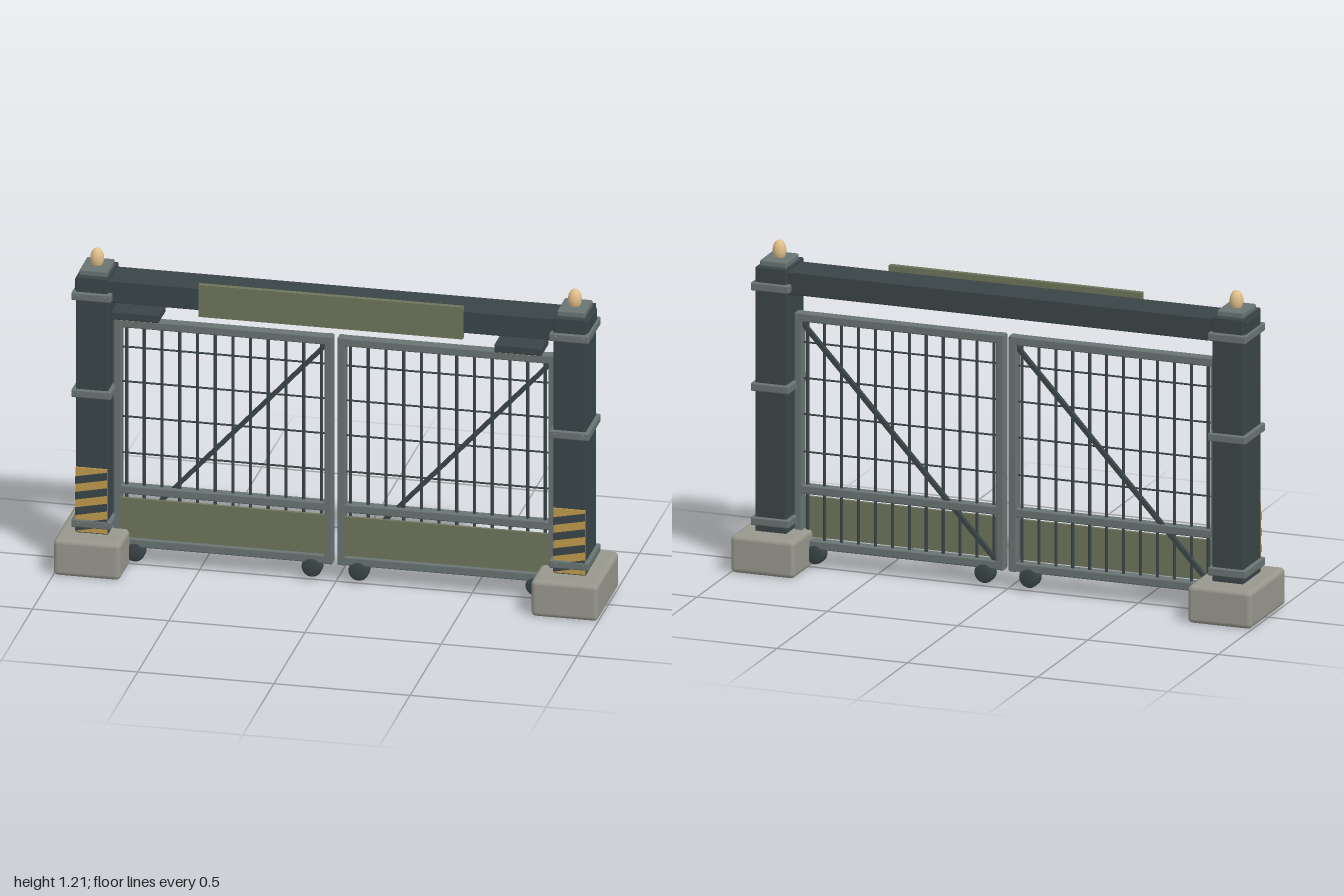
import * as THREE from 'three';
import { RoundedBoxGeometry } from 'three/addons/geometries/RoundedBoxGeometry.js';

const paint = (color) => new THREE.MeshStandardMaterial({ color });
const DARK = paint(0x3a4547), STEEL = paint(0x687372), OLIVE = paint(0x6e745b);
const STONE = paint(0x98978d), YELLOW = paint(0xc09a4e), GLOW = paint(0xe0bf8a);

function add(parent, name, geometry, material, x = 0, y = 0, z = 0) {
  const mesh = new THREE.Mesh(geometry, material);
  mesh.name = name;
  mesh.position.set(x, y, z);
  parent.add(mesh);
  return mesh;
}

// Box given by its extents on each axis; r rounds the edges
function box(parent, name, material, [x0, x1], [y0, y1], [z0, z1], r = 0) {
  const s = [x1 - x0, y1 - y0, z1 - z0];
  const geometry = r ? new RoundedBoxGeometry(...s, 3, r) : new THREE.BoxGeometry(...s);
  return add(parent, name, geometry, material, (x0 + x1) / 2, (y0 + y1) / 2, (z0 + z1) / 2);
}

// Round bar between two points
function rod(parent, name, material, a, b, radius, sides = 8) {
  const from = new THREE.Vector3(...a), to = new THREE.Vector3(...b);
  const dir = to.clone().sub(from);
  const mesh = add(parent, name, new THREE.CylinderGeometry(radius, radius, dir.length(), sides), material);
  mesh.position.copy(from).add(to).multiplyScalar(0.5);
  mesh.quaternion.setFromUnitVectors(new THREE.Vector3(0, 1, 0), dir.normalize());
  return mesh;
}

function createPost() {
  const post = new THREE.Group();
  box(post, 'footing', STONE, [-0.123, 0.123], [0, 0.14], [-0.175, 0.175], 0.018);
  box(post, 'shaft', DARK, [-0.059, 0.059], [0.13, 1.126], [-0.087, 0.087], 0.004);
  box(post, 'capPlate', STEEL, [-0.051, 0.051], [1.115, 1.146], [-0.064, 0.064], 0.006);

  // Egg-shaped lamp on top
  const egg = add(post, 'finialLamp', new THREE.SphereGeometry(1, 20, 14), GLOW, 0, 1.17, 0);
  egg.scale.set(0.025, 0.039, 0.025);

  // Clamping bands with bolt heads
  for (const y of [0.178, 0.679, 1.054]) {
    box(post, 'band', STEEL, [-0.073, 0.073], [y - 0.015, y + 0.015], [-0.1, 0.1], 0.005);
    for (const x of [-0.05, 0.05]) {
      const bolt = add(post, 'bolt', new THREE.CylinderGeometry(0.009, 0.009, 0.014, 8), STEEL, x, y, 0.101);
      bolt.rotation.x = Math.PI / 2;
    }
  }

  // Warning plate with slanted stripes
  box(post, 'warningPlate', YELLOW, [-0.058, 0.058], [0.145, 0.393], [0.085, 0.093]);
  for (let i = 0; i < 4; i++) {
    const y = 0.15 + i * 0.06;
    const stripe = new THREE.Shape([
      new THREE.Vector2(-0.058, y), new THREE.Vector2(0.058, y + 0.024),
      new THREE.Vector2(0.058, y + 0.052), new THREE.Vector2(-0.058, y + 0.028),
    ]);
    const geometry = new THREE.ExtrudeGeometry(stripe, { depth: 0.006, bevelEnabled: false });
    add(post, 'warningStripe', geometry, DARK, 0, 0, 0.092);
  }
  return post;
}

function createLeaf() {
  const leaf = new THREE.Group();
  const half = 0.402, depth = [-0.02, 0.02];

  // Frame
  for (const s of [-1, 1]) {
    const x = s * (half - 0.015);
    box(leaf, 'stile', STEEL, [x - 0.015, x + 0.015], [0.07, 0.95], depth, 0.005);
  }
  for (const y of [0.088, 0.291, 0.933])
    box(leaf, 'rail', STEEL, [-half + 0.02, half - 0.02], [y - 0.016, y + 0.016], depth, 0.005);

  // Lower panel in front of the bars
  box(leaf, 'kickPanel', OLIVE, [-0.38, 0.38], [0.11, 0.26], [0.008, 0.02]);

  // Upright bars and thin cross wires
  for (let i = 0; i < 12; i++) {
    const x = (i - 5.5) * 0.065;
    rod(leaf, 'bar', DARK, [x, 0.09, 0], [x, 0.93, 0], 0.006);
  }
  for (const y of [0.428, 0.568, 0.703, 0.837])
    rod(leaf, 'crossWire', DARK, [-0.38, y, 0], [0.38, y, 0], 0.0035, 6);

  // Diagonal brace
  const length = Math.hypot(0.755, 0.82);
  const brace = add(leaf, 'brace', new THREE.BoxGeometry(length, 0.016, 0.016), DARK, 0, 0.503, -0.006);
  brace.rotation.z = Math.atan2(0.82, 0.755);

  // Rollers under the bottom rail
  const profile = [[0, -0.025], [0.029, -0.025], [0.037, -0.016], [0.037, 0.016], [0.029, 0.025], [0, 0.025]]
    .map(([r, y]) => new THREE.Vector2(r, y));
  for (const x of [-0.325, 0.325]) {
    const wheel = add(leaf, 'roller', new THREE.LatheGeometry(profile, 20), DARK, x, 0.053, 0);
    wheel.rotation.x = Math.PI / 2;
  }
  return leaf;
}

export function createModel() {
  const gate = new THREE.Group();
  gate.name = 'gate';

  for (const [s, side] of [[1, 'left'], [-1, 'right']]) {
    const post = createPost();
    post.name = side + 'Post';
    post.position.x = s * 0.877;
    gate.add(post);

    const leaf = createLeaf();
    leaf.name = side + 'Leaf';
    leaf.position.x = s * 0.411;
    gate.add(leaf);

    // Lamp housing below the beam
    const x = s * 0.703;
    box(gate, side + 'LampHousing', DARK, [x - 0.087, x + 0.087], [1.001, 1.032], [0.04, 0.156], 0.004);
    box(gate, side + 'LampLens', GLOW, [x - 0.07, x + 0.07], [0.997, 1.003], [0.055, 0.145]);
  }

  // Overhead beam, running through both posts, and its blank sign board
  box(gate, 'beam', DARK, [-0.942, 0.942], [1.03, 1.115], [-0.071, 0.071], 0.004);
  box(gate, 'signBoard', OLIVE, [-0.485, 0.485], [1.013, 1.136], [0.07, 0.09]);
  return gate;
}
